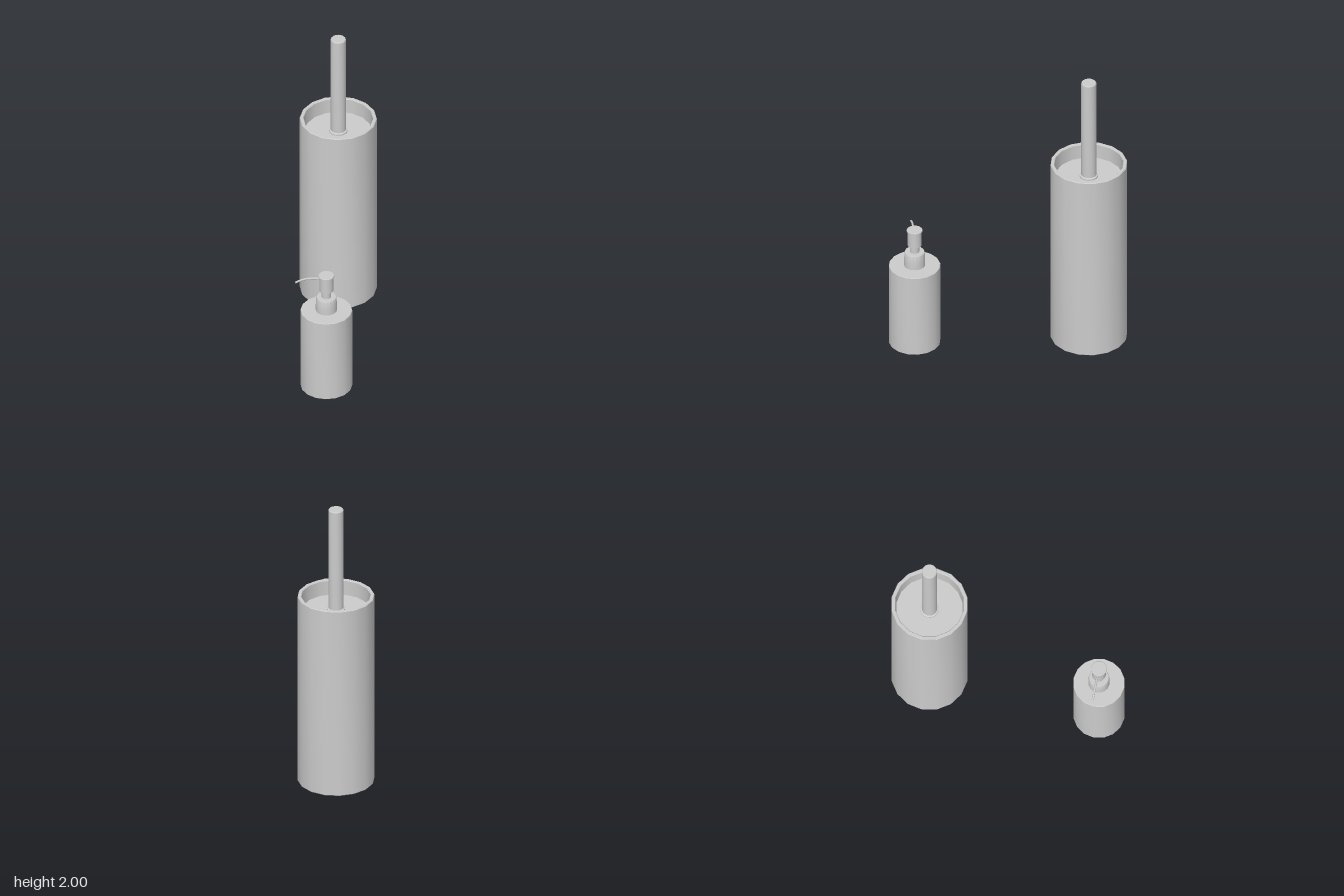
import * as THREE from 'three';
import { toCreasedNormals } from 'three/addons/utils/BufferGeometryUtils.js';

const material = new THREE.MeshStandardMaterial({ color: 0xcccccc });

// Turned part from [radius, height] pairs, listed bottom to top along the outside
function turned(name, profile, sides = 16) {
  const points = profile.map(([r, y]) => new THREE.Vector2(r, y));
  const geometry = toCreasedNormals(new THREE.LatheGeometry(points, sides), 0.6);
  const mesh = new THREE.Mesh(geometry, material);
  mesh.name = name;
  return mesh;
}

function createBrushHolder() {
  const group = new THREE.Group();
  group.name = 'toiletBrush';

  // Open canister with a wall thickness and an inner floor
  group.add(turned('canister', [
    [0, 0.003], [0.252, 0.003], [0.256, 0.008], [0.256, 1.36], [0.252, 1.365],
    [0.234, 1.365], [0.23, 1.36], [0.23, 0.03], [0, 0.03],
  ]));

  // Recessed lid with a small collar round the handle
  group.add(turned('lid', [
    [0, 1.235], [0.224, 1.235], [0.224, 1.26], [0.061, 1.26],
    [0.061, 1.27], [0.05, 1.275],
  ]));

  // Handle with a softened end
  group.add(turned('handle', [
    [0, 1.22], [0.051, 1.22], [0.051, 1.993], [0.046, 2], [0, 2],
  ]));

  group.position.z = -0.54;
  return group;
}

function createDispenser() {
  const group = new THREE.Group();
  group.name = 'soapDispenser';

  group.add(turned('bottle', [
    [0, 0.01], [0.169, 0.01], [0.172, 0.013], [0.172, 0.611], [0.169, 0.615], [0, 0.615],
  ]));
  group.add(turned('neckCollar', [
    [0, 0.61], [0.071, 0.61], [0.071, 0.65], [0.067, 0.716], [0.064, 0.72], [0, 0.72],
  ]));
  group.add(turned('pumpStem', [[0.032, 0.715], [0.032, 0.775]]));

  // Pump head with a wider press cap
  group.add(turned('pumpHead', [
    [0, 0.77], [0.046, 0.77], [0.046, 0.878], [0.053, 0.88],
    [0.053, 0.888], [0.05, 0.891], [0, 0.891],
  ]));

  // Spout curving down to the model's right
  const path = new THREE.CatmullRomCurve3([
    [-0.03, 0.863], [-0.1, 0.863], [-0.14, 0.857], [-0.175, 0.844], [-0.204, 0.828],
  ].map(([x, y]) => new THREE.Vector3(x, y, 0)));
  const spout = new THREE.Mesh(new THREE.TubeGeometry(path, 16, 0.007, 8), material.clone());
  spout.material.side = THREE.DoubleSide;
  spout.name = 'spout';
  group.add(spout);

  group.position.set(-0.05, 0, 0.617);
  return group;
}

export function createModel() {
  const model = new THREE.Group();
  model.name = 'bathroomSet';
  model.add(createBrushHolder(), createDispenser());
  return model;
}
